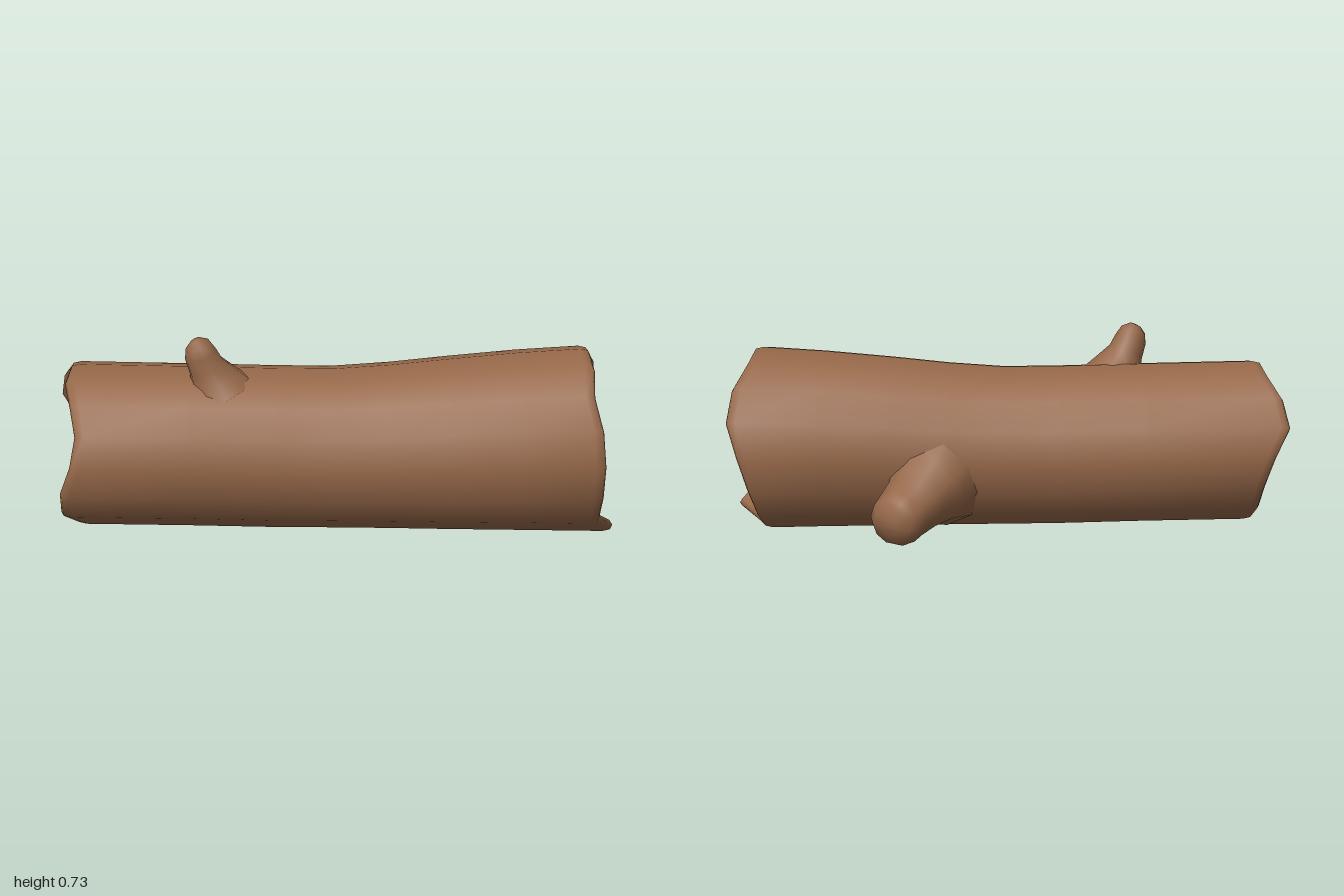
import * as THREE from 'three';

const SIDES = 16;

// Joins equal-length rings of points into one smooth skin
function loft(rings, material, name) {
  const n = rings[0].length;
  const index = [];
  for (let i = 0; i < rings.length - 1; i++) {
    for (let j = 0; j < n; j++) {
      const a = i * n + j, b = i * n + (j + 1) % n;
      index.push(a, b, a + n, b, b + n, a + n);
    }
  }
  const geometry = new THREE.BufferGeometry().setFromPoints(rings.flat());
  geometry.setIndex(index);
  geometry.computeVertexNormals();
  const mesh = new THREE.Mesh(geometry, material);
  mesh.name = name;
  return mesh;
}

// Trunk stations: x, centre y, centre z, radius
const STATIONS = [
  [-0.9, 0.322, 0.06, 0.291], [-0.5, 0.314, 0.06, 0.29], [-0.2, 0.306, 0.059, 0.29],
  [0, 0.304, 0.058, 0.29], [0.2, 0.31, 0.059, 0.298], [0.4, 0.319, 0.06, 0.31],
  [0.65, 0.329, 0.06, 0.323], [0.9, 0.334, 0.061, 0.332],
];

// Broken rim reach around each end, from the top towards the front
const LEFT_RIM = [0.93, 0.935, 0.91, 0.89, 0.91, 0.95, 0.957, 0.915,
  0.9, 0.9, 0.91, 0.92, 0.95, 1.0, 0.98, 0.94];
const RIGHT_RIM = [0.9, 0.9, 0.89, 0.915, 0.925, 0.925, 0.925, 0.99,
  0.9, 0.87, 0.88, 0.9, 0.93, 0.965, 0.95, 0.91];

// Ring around a station; reach gives x for each side, scale shrinks the radius
function trunkRing([, cy, cz, r], reach, inset) {
  return Array.from({ length: SIDES }, (_, j) => {
    const a = (j / SIDES) * Math.PI * 2;
    const radius = Math.max(r - inset, 0);
    return new THREE.Vector3(reach(j), cy + radius * Math.cos(a), cz + radius * Math.sin(a));
  });
}

// Rings of one hollow end, from the outer bark over the lip to the sunken floor
function hollowEnd(station, rim, sign) {
  const floor = 0.82;
  const ring = (back, inset) => trunkRing(station, j => sign * (rim[j] - back), inset);
  const flat = (x, inset) => trunkRing(station, () => sign * x, inset);
  return [
    ring(0.035, 0), ring(0.008, 0.006), ring(0, 0.022), ring(0.01, 0.039), ring(0.035, 0.046),
    flat(floor + 0.015, 0.052), flat(floor, 0.07), flat(floor - 0.005, 0.12), flat(floor - 0.005, station[3]),
  ];
}

// Branch stub along a path of [x, y, z, radius], closed at the tip
function branch(path, sides, material, name) {
  const points = path.map(([x, y, z]) => new THREE.Vector3(x, y, z));
  const rings = points.map((p, i) => {
    const t = points[Math.min(i + 1, points.length - 1)].clone()
      .sub(points[Math.max(i - 1, 0)]).normalize();
    const n = new THREE.Vector3(1, 0, 0).addScaledVector(t, -t.x).normalize();
    const b = t.clone().cross(n);
    return Array.from({ length: sides }, (_, j) => {
      const a = (j / sides) * Math.PI * 2;
      return p.clone().addScaledVector(n, path[i][3] * Math.cos(a))
        .addScaledVector(b, path[i][3] * Math.sin(a));
    });
  });
  return loft(rings, material, name);
}

export function createModel() {
  const group = new THREE.Group();
  group.name = 'hollowLog';
  const bark = new THREE.MeshStandardMaterial({ color: 0x966849 });
  bark.name = 'bark brown';

  // Trunk: left hollow, bark, right hollow in a single skin
  const first = STATIONS[0], last = STATIONS[STATIONS.length - 1];
  const body = STATIONS.slice(1, -1).map(s => trunkRing(s, () => s[0], 0));
  const skin = [
    ...hollowEnd(first, LEFT_RIM, -1).reverse(),
    ...body,
    ...hollowEnd(last, RIGHT_RIM, 1),
  ];
  group.add(loft(skin, bark, 'trunk'));

  // Small stub on top
  group.add(branch([
    [-0.405, 0.54, 0.13, 0.12], [-0.42, 0.585, 0.137, 0.085], [-0.445, 0.63, 0.145, 0.064],
    [-0.462, 0.675, 0.152, 0.058], [-0.472, 0.71, 0.157, 0.045],
    [-0.48, 0.728, 0.16, 0.02], [-0.481, 0.73, 0.16, 0],
  ], 10, bark, 'topBranch'));

  // Thick stub low on the back
  group.add(branch([
    [0.26, 0.225, -0.14, 0.19], [0.285, 0.205, -0.2, 0.145], [0.32, 0.175, -0.26, 0.112],
    [0.355, 0.15, -0.31, 0.1], [0.378, 0.132, -0.35, 0.094],
    [0.388, 0.126, -0.375, 0.07], [0.393, 0.123, -0.387, 0.03], [0.394, 0.122, -0.388, 0],
  ], 10, bark, 'backBranch'));

  return group;
}
